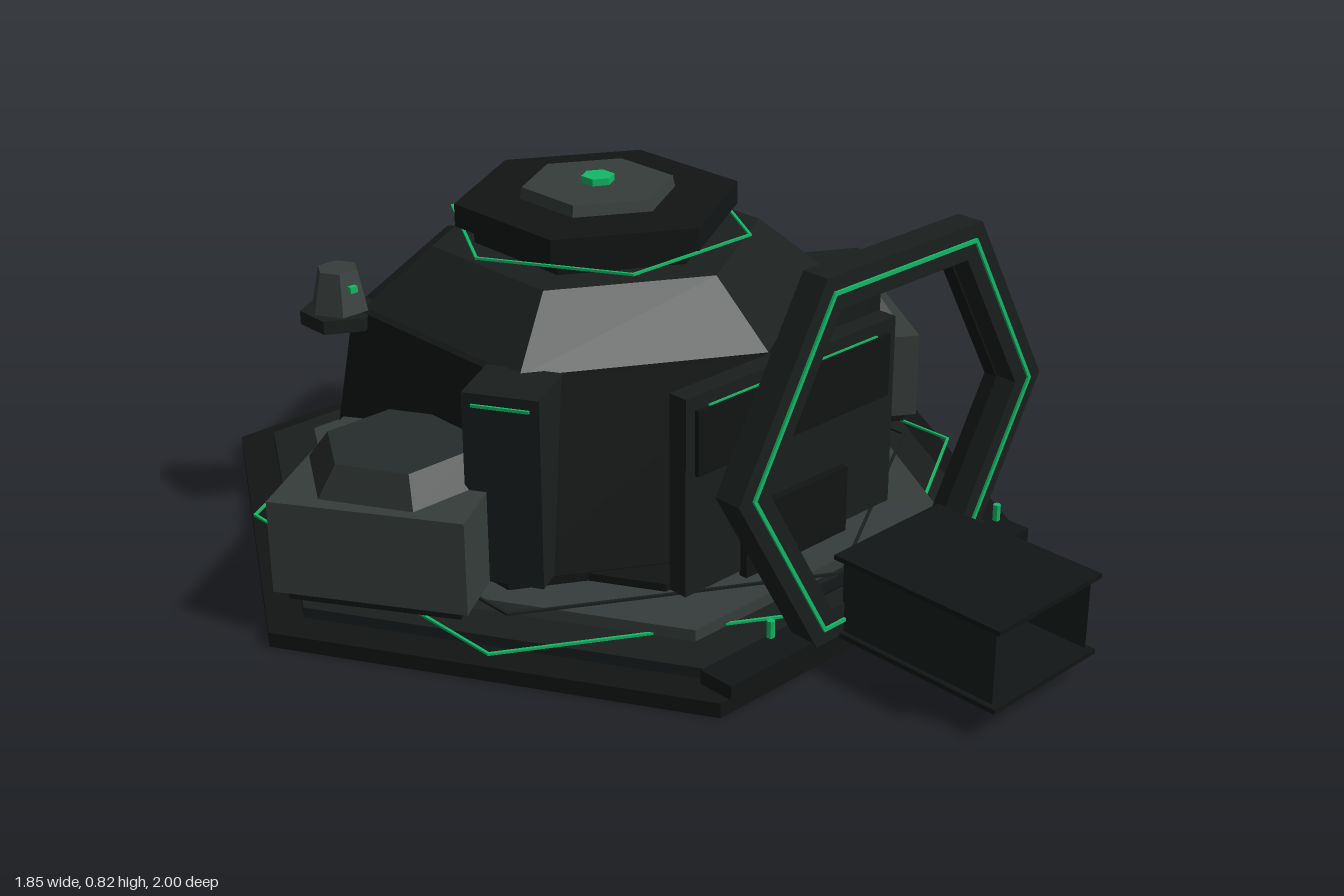
import * as THREE from 'three';

const mat = (color, side = THREE.FrontSide) =>
  new THREE.MeshStandardMaterial({ color, flatShading: true, side });
const BLACK = mat(0x121515), DARK = mat(0x1a1f1e), MID = mat(0x262c2b), LIGHT = mat(0x363d3b);
const GREEN = mat(0x12b866), GLASS = mat(0x14201d, THREE.DoubleSide);
const CZ = -0.24; // centre of the dome along z
const FLAT = Math.PI / 6; // turns a hexagon so its corners point along x

export function createModel() {
  const root = new THREE.Group();

  const add = (name, geo, material, x = 0, y = 0, z = 0, parent = root) => {
    const m = new THREE.Mesh(geo, material);
    m.name = name;
    m.position.set(x, y, z);
    parent.add(m);
    return m;
  };
  const box = (name, w, h, d, material, x, y, z, parent) =>
    add(name, new THREE.BoxGeometry(w, h, d), material, x, y, z, parent);
  // Hexagonal frustum from y0 to y1
  const hex = (name, rBottom, rTop, y0, y1, material, x = 0, z = CZ, turn = 0, parent = root) => {
    const m = add(name, new THREE.CylinderGeometry(rTop, rBottom, y1 - y0, 6), material, x, (y0 + y1) / 2, z, parent);
    m.rotation.y = turn;
    return m;
  };
  // Hexagonal frame in the xy plane, corners along x
  const hexRing = (rOut, rIn, depth) => {
    const pts = (r) => Array.from({ length: 6 }, (_, i) =>
      new THREE.Vector2(r * Math.cos(i * Math.PI / 3), r * Math.sin(i * Math.PI / 3)));
    const shape = new THREE.Shape(pts(rOut));
    shape.holes.push(new THREE.Path(pts(rIn)));
    return new THREE.ExtrudeGeometry(shape, { depth, bevelEnabled: false });
  };
  // Thin hexagonal line lying flat
  const lineRing = (name, r, y, z, material, turn = 0) => {
    const geo = hexRing(r, r - 0.007, 0.005).rotateX(-Math.PI / 2).rotateY(turn);
    return add(name, geo, material, 0, y, z);
  };

  // Stepped base
  hex('baseSlab', 0.925, 0.925, 0, 0.032, BLACK, 0, -0.2, FLAT);
  hex('middleSlab', 0.84, 0.84, 0.032, 0.055, DARK, 0, -0.2, FLAT);
  hex('upperSlab', 0.735, 0.735, 0.055, 0.08, LIGHT, 0, -0.2, FLAT);
  hex('wallPlinth', 0.61, 0.61, 0.08, 0.1, BLACK, 0, CZ, 0);
  hex('crossPlinth', 0.61, 0.61, 0.08, 0.097, BLACK, 0, CZ, FLAT);
  lineRing('baseLight', 0.8, 0.056, -0.2, GREEN, FLAT);
  lineRing('baseTrim', 0.69, 0.082, -0.2, DARK, FLAT);

  // Dome: sloping wall, roof, neck, cap and beacon
  hex('wall', 0.605, 0.535, 0.1, 0.505, BLACK);
  hex('roof', 0.51, 0.36, 0.505, 0.63, DARK);
  hex('roofNeck', 0.27, 0.27, 0.63, 0.67, BLACK);
  hex('roofCap', 0.31, 0.31, 0.67, 0.72, BLACK);
  hex('roofHatch', 0.17, 0.165, 0.72, 0.745, LIGHT);
  hex('beacon', 0.036, 0.036, 0.745, 0.76, GREEN);
  lineRing('roofLight', 0.34, 0.655, CZ, GREEN);

  // Front facade with door and light strip
  box('facade', 0.61, 0.43, 0.045, DARK, 0, 0.305, 0.322);
  box('facadeLight', 0.49, 0.006, 0.006, GREEN, 0, 0.49, 0.346);
  box('facadePanel', 0.56, 0.14, 0.012, BLACK, 0, 0.42, 0.348);
  box('door', 0.3, 0.15, 0.02, BLACK, 0, 0.155, 0.352);

  for (const s of [-1, 1]) {
    // Angled side doorway on the front corners of the wall
    const bay = new THREE.Group();
    bay.name = 'sideBay';
    bay.position.z = CZ;
    bay.rotation.y = s * Math.PI / 3;
    root.add(bay);
    box('sideBayWall', 0.16, 0.41, 0.14, DARK, 0, 0.305, 0.55, bay);
    box('sideBayLight', 0.12, 0.006, 0.006, GREEN, 0, 0.485, 0.622, bay);

    // Side pod with a faceted roof
    const pod = new THREE.Group();
    pod.name = 'sidePod';
    pod.position.set(s * 0.61, 0, -0.165);
    pod.rotation.y = -s * 0.57;
    root.add(pod);
    box('podFoot', 0.36, 0.03, 0.36, BLACK, 0, 0.09, 0, pod);
    box('podBody', 0.405, 0.2, 0.405, LIGHT, 0, 0.2, 0, pod);
    hex('podRoof', 0.2, 0.155, 0.3, 0.36, MID, 0, 0, s * 0.57 + FLAT, pod);

    // Rear corner turret
    hex('turretShelf', 0.085, 0.085, 0.475, 0.505, DARK, s * 0.48, -0.53);
    hex('turret', 0.065, 0.045, 0.505, 0.595, LIGHT, s * 0.48, -0.53, FLAT);
    box('turretLight', 0.018, 0.014, 0.012, GREEN, s * 0.48, 0.56, -0.48);

    // Marker lamp beside the gate
    add('gateLamp', new THREE.CylinderGeometry(0.008, 0.008, 0.036, 8), GREEN, s * 0.34, 0.147, 0.61);
  }

  // Gate: hexagonal frame with a green outline on a low sill
  add('gateFrame', hexRing(0.44, 0.36, 0.06), DARK, 0, 0.44, 0.56);
  add('gateInnerFrame', hexRing(0.39, 0.355, 0.03), BLACK, 0, 0.44, 0.545);
  add('gateLight', hexRing(0.406, 0.397, 0.006), GREEN, 0, 0.44, 0.619);
  box('gateSill', 0.9, 0.03, 0.08, BLACK, 0, 0.055, 0.575);

  // Open entry tunnel in front of the gate
  box('tunnelFloor', 0.31, 0.01, 0.4, BLACK, 0, 0.06, 0.8);
  box('tunnelRoof', 0.31, 0.01, 0.4, BLACK, 0, 0.225, 0.8);
  for (const s of [-1, 1]) {
    const side = add('tunnelSide', new THREE.PlaneGeometry(0.37, 0.155), GLASS, s * 0.143, 0.1425, 0.8);
    side.rotation.y = Math.PI / 2;
  }

  return root;
}
